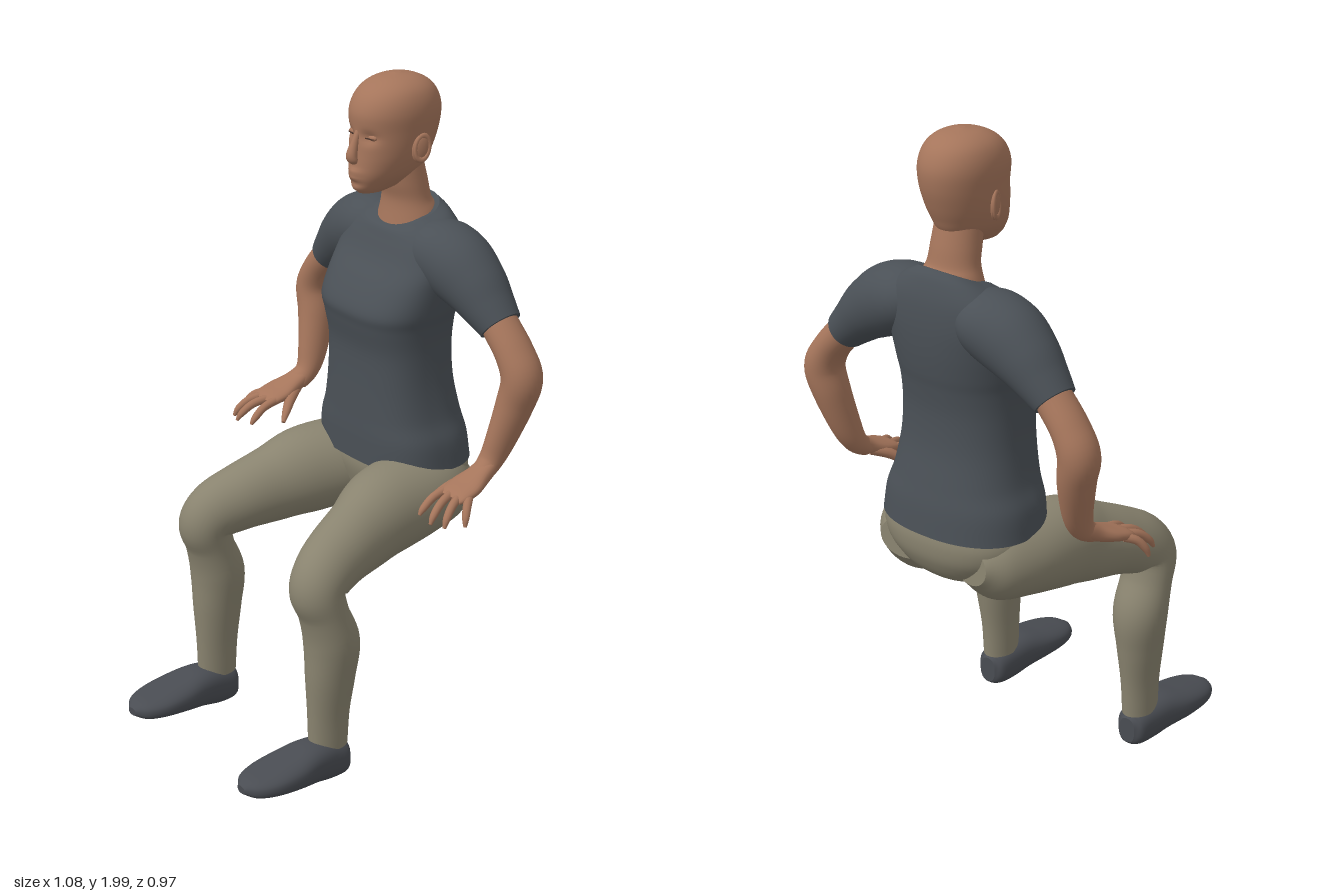
import * as THREE from 'three';

const X = new THREE.Vector3(1, 0, 0), Z = new THREE.Vector3(0, 0, 1), Y = new THREE.Vector3(0, 1, 0);
const material = (name, color) => Object.assign(new THREE.MeshStandardMaterial({ color }), { name });

// Smooth tube through sections [x, y, z, width radius, height radius, tilt].
function loft(sections, { ref = X, segs = 32, steps = 6, n = 2, nFront = n, flat = false, rule = null } = {}) {
  const path = new THREE.CatmullRomCurve3(sections.map(s => new THREE.Vector3(s[0], s[1], s[2])), false, 'catmullrom');
  const size = new THREE.CatmullRomCurve3(sections.map(s => new THREE.Vector3(s[3], s[4], s[5] || 0)), false, 'catmullrom');
  const rows = (sections.length - 1) * steps, pos = [], idx = [];
  const power = (v, e) => Math.sign(v) * Math.pow(Math.abs(v), 2 / e);
  const put = v => pos.push(v.x, v.y, v.z);
  for (let i = 0; i <= rows; i++) {
    const c = path.getPoint(i / rows), r = size.getPoint(i / rows);
    const d = 0.5 / rows, t = flat ? Y.clone() : path.getPoint(Math.min(1, i / rows + d))
      .sub(path.getPoint(Math.max(0, i / rows - d))).normalize();
    const side = ref.clone().addScaledVector(t, -ref.dot(t)).normalize();
    const up = t.clone().cross(side);
    for (let j = 0; j < segs; j++) {
      const a = j / segs * Math.PI * 2, e = Math.sin(a) < 0 ? nFront : n;
      const v = c.clone().addScaledVector(side, r.x * power(Math.cos(a), e)).addScaledVector(up, r.y * power(Math.sin(a), e));
      v.y += r.z * Math.sin(a);
      if (rule) rule(v);
      put(v);
    }
  }
  for (let i = 0; i < rows; i++) for (let j = 0; j < segs; j++) {
    const a = i * segs + j, b = i * segs + (j + 1) % segs;
    idx.push(a, b, a + segs, b, b + segs, a + segs);
  }
  // End caps have their own vertices so the rims stay crisp
  for (const end of [0, rows]) {
    const base = pos.length / 3;
    for (let j = 0; j < segs; j++) pos.push(...pos.slice((end * segs + j) * 3, (end * segs + j) * 3 + 3));
    put(path.getPoint(end / rows));
    for (let j = 0; j < segs; j++) {
      const a = base + j, b = base + (j + 1) % segs;
      idx.push(base + segs, end ? a : b, end ? b : a);
    }
  }
  const g = new THREE.BufferGeometry();
  g.setAttribute('position', new THREE.Float32BufferAttribute(pos, 3));
  g.setIndex(idx);
  g.computeVertexNormals();
  return g;
}

// Horizontal rings given as [y, front z, back z, half width, tilt]
const rings = (list, options) => loft(list.map(([y, f, b, w, tilt]) => [0, y, (f + b) / 2, w, (f - b) / 2, tilt]), { flat: true, ...options });

export function createModel() {
  const model = new THREE.Group();
  const skin = material('skin', 0xa5755b), shirt = material('shirt cloth', 0x4a5056);
  const trousers = material('trouser cloth', 0x89836f), shoe = material('shoe leather', 0x494c52);
  const dark = material('eye line', 0x4a342b);
  const add = (name, geometry, mat) => {
    const mesh = new THREE.Mesh(geometry, mat);
    mesh.name = name;
    model.add(mesh);
    return mesh;
  };

  // Shirt body
  add('shirtBody', rings([
    [0.85, -0.13, -0.48, 0.25], [0.93, -0.128, -0.47, 0.24], [1.0, -0.13, -0.455, 0.215],
    [1.1, -0.132, -0.435, 0.198], [1.2, -0.13, -0.43, 0.193], [1.28, -0.114, -0.438, 0.198],
    [1.33, -0.108, -0.447, 0.208], [1.4, -0.145, -0.455, 0.215], [1.47, -0.195, -0.457, 0.22, 0.005],
    [1.53, -0.222, -0.45, 0.2, 0.015], [1.572, -0.237, -0.432, 0.15, 0.028], [1.592, -0.25, -0.412, 0.103, 0.036],
  ], { segs: 56, n: 2.3, nFront: 2.8 }), shirt);

  // Seat of the trousers
  add('trouserSeat', rings([
    [0.665, -0.2, -0.32, 0.04], [0.7, -0.18, -0.42, 0.14], [0.76, -0.155, -0.465, 0.215],
    [0.82, -0.14, -0.476, 0.245], [0.88, -0.145, -0.465, 0.235],
  ], { segs: 48, n: 2.3 }), trousers);

  // Neck
  add('neck', rings([
    [1.54, -0.246, -0.42, 0.11, 0.02], [1.59, -0.256, -0.408, 0.094, 0.02], [1.63, -0.262, -0.395, 0.08],
    [1.68, -0.25, -0.385, 0.075], [1.74, -0.24, -0.37, 0.07],
  ]), skin);

  // Head, with eye sockets, brow and lips pressed into the face
  const bump = (v, x, y, sx, sy) => Math.exp(-(((v.x - x) / sx) ** 2) - ((v.y - y) / sy) ** 2);
  add('head', rings([
    [1.668, -0.155, -0.25, 0.028], [1.685, -0.137, -0.31, 0.046], [1.72, -0.132, -0.365, 0.073],
    [1.76, -0.136, -0.388, 0.09], [1.8, -0.14, -0.405, 0.1], [1.85, -0.143, -0.42, 0.107],
    [1.9, -0.142, -0.424, 0.111], [1.94, -0.158, -0.412, 0.104], [1.97, -0.188, -0.388, 0.086],
    [1.99, -0.23, -0.35, 0.054], [2.0, -0.28, -0.3, 0.008],
  ], {
    segs: 88, n: 2.1, rule: v => {
      if (v.z < -0.23) return;
      for (const s of [-1, 1]) v.z -= 0.012 * bump(v, s * 0.042, 1.838, 0.024, 0.016);
      v.z += 0.007 * bump(v, 0, 1.735, 0.026, 0.008) + 0.006 * bump(v, 0, 1.718, 0.022, 0.007);
      v.z -= 0.005 * bump(v, 0, 1.7, 0.03, 0.008);
    },
  }), skin);
  add('nose', loft([
    [0, 1.855, -0.152, 0.009, 0.008], [0, 1.82, -0.139, 0.011, 0.012], [0, 1.785, -0.127, 0.017, 0.016],
    [0, 1.768, -0.132, 0.018, 0.012], [0, 1.76, -0.14, 0.008, 0.005],
  ], { segs: 20 }), skin);

  for (const s of [1, -1]) {
    const part = s > 0 ? 'left' : 'right';
    const tube = (name, list, mat, options) =>
      add(part + name, loft(list.map(([x, ...rest]) => [x * s, ...rest]), options), mat);

    // Eyes and ears
    const lid = add(part + 'Eyelid', new THREE.SphereGeometry(1, 20, 12), skin);
    lid.scale.set(0.019, 0.009, 0.01);
    lid.position.set(s * 0.042, 1.838, -0.168);
    const line = add(part + 'EyeLine', new THREE.BoxGeometry(0.028, 0.003, 0.004), dark);
    line.position.set(s * 0.042, 1.836, -0.158);
    line.rotation.y = s * 0.25;
    const ear = add(part + 'Ear', new THREE.SphereGeometry(1, 20, 14), skin);
    ear.scale.set(0.011, 0.043, 0.025);
    ear.position.set(s * 0.114, 1.803, -0.285);
    ear.rotation.set(-0.15, -s * 0.4, -s * 0.15);
    const rim = add(part + 'EarRim', new THREE.TorusGeometry(0.021, 0.005, 8, 24), skin);
    rim.scale.set(1, 1.7, 1);
    rim.position.set(s * 0.121, 1.806, -0.287);
    rim.rotation.set(0, s * 1.2, -s * 0.12);

    // Sleeve and bare arm
    tube('Sleeve', [
      [0.07, 1.52, -0.345, 0.08, 0.06], [0.14, 1.497, -0.345, 0.11, 0.095], [0.22, 1.468, -0.347, 0.108, 0.105],
      [0.29, 1.425, -0.352, 0.095, 0.092], [0.345, 1.378, -0.356, 0.08, 0.074], [0.392, 1.335, -0.36, 0.066, 0.06],
    ], shirt, { ref: Z });
    tube('Arm', [
      [0.33, 1.395, -0.36, 0.054, 0.05], [0.39, 1.335, -0.36, 0.057, 0.051], [0.45, 1.268, -0.364, 0.06, 0.051],
      [0.482, 1.2, -0.366, 0.062, 0.058], [0.467, 1.12, -0.356, 0.058, 0.053], [0.445, 1.01, -0.326, 0.048, 0.041],
      [0.436, 0.95, -0.298, 0.036, 0.036], [0.438, 0.918, -0.26, 0.028, 0.036],
    ], skin, { ref: Z, segs: 28 });

    // Hand with fingers spread
    tube('Palm', [
      [0.437, 0.94, -0.29, 0.034, 0.026], [0.441, 0.918, -0.25, 0.04, 0.025], [0.446, 0.9, -0.2, 0.055, 0.021],
      [0.45, 0.887, -0.155, 0.054, 0.017], [0.45, 0.88, -0.135, 0.045, 0.01],
    ], skin, { segs: 24, n: 2.4 });
    const fingers = [
      ['Index', 0.41, -0.16, 0.407, -0.06, 0.832], ['Middle', 0.438, -0.155, 0.468, -0.05, 0.828],
      ['Ring', 0.467, -0.16, 0.508, -0.068, 0.826], ['Little', 0.488, -0.175, 0.535, -0.122, 0.825],
    ];
    for (const [name, x, z, tipX, tipZ, tipY] of fingers) tube(name + 'Finger', [
      [x, 0.888, z, 0.013, 0.013], [x + (tipX - x) * 0.5, 0.876, z + (tipZ - z) * 0.5, 0.0125, 0.0125],
      [x + (tipX - x) * 0.85, 0.85, z + (tipZ - z) * 0.85, 0.011, 0.011], [tipX, tipY, tipZ, 0.005, 0.005],
    ], skin, { segs: 12, steps: 4 });
    tube('Thumb', [
      [0.425, 0.905, -0.245, 0.02, 0.016], [0.393, 0.887, -0.2, 0.017, 0.016],
      [0.368, 0.86, -0.165, 0.013, 0.012], [0.352, 0.837, -0.142, 0.006, 0.006],
    ], skin, { segs: 12, steps: 4 });

    // Trouser leg, bent at the knee
    tube('TrouserLeg', [
      [0.125, 0.775, -0.42, 0.08, 0.06], [0.138, 0.77, -0.35, 0.125, 0.118], [0.16, 0.763, -0.24, 0.14, 0.128],
      [0.188, 0.75, -0.1, 0.125, 0.135], [0.215, 0.722, 0, 0.104, 0.12], [0.242, 0.695, 0.1, 0.095, 0.103],
      [0.265, 0.665, 0.17, 0.087, 0.094], [0.278, 0.62, 0.205, 0.081, 0.083], [0.283, 0.55, 0.188, 0.08, 0.071],
      [0.285, 0.45, 0.16, 0.082, 0.083], [0.284, 0.34, 0.163, 0.067, 0.078], [0.282, 0.22, 0.168, 0.052, 0.068],
      [0.282, 0.11, 0.17, 0.047, 0.063],
    ], trousers, { segs: 36 });

    // Shoe
    tube('Shoe', [
      [0.283, 0.06, 0.108, 0.028, 0.04], [0.283, 0.06, 0.13, 0.05, 0.054], [0.283, 0.068, 0.18, 0.059, 0.062],
      [0.285, 0.078, 0.245, 0.069, 0.06], [0.287, 0.076, 0.32, 0.08, 0.048], [0.286, 0.072, 0.4, 0.077, 0.036],
      [0.284, 0.069, 0.455, 0.055, 0.027], [0.283, 0.068, 0.485, 0.018, 0.012],
    ], shoe, { n: 2.5 });
  }
  return model;
}
